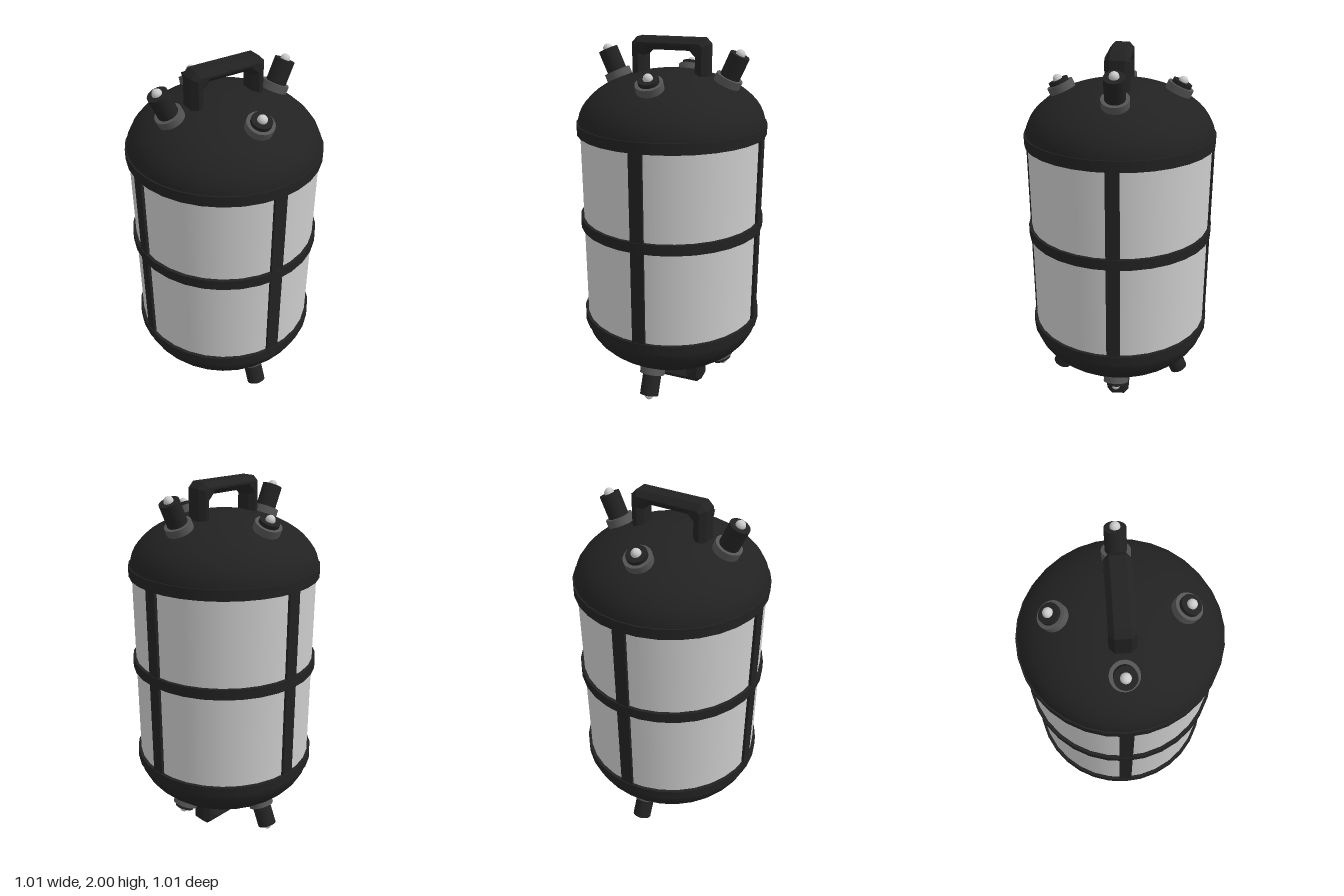
import * as THREE from 'three';

const dark = new THREE.MeshStandardMaterial({ color: 0x222222 });
const mid = new THREE.MeshStandardMaterial({ color: 0x555555 });
const grey = new THREE.MeshStandardMaterial({ color: 0xcccccc });

function add(parent, name, geometry, material, x = 0, y = 0, z = 0) {
  const mesh = new THREE.Mesh(geometry, material);
  mesh.name = name;
  mesh.position.set(x, y, z);
  parent.add(mesh);
  return mesh;
}

// Valve: wide collar, dark stem and a small round tip, along local +y
function makeValve(length) {
  const valve = new THREE.Group();
  valve.name = 'valve';
  add(valve, 'valveCollar', new THREE.CylinderGeometry(0.07, 0.07, 0.08, 24), mid, 0, -0.01);
  add(valve, 'valveStem', new THREE.CylinderGeometry(0.052, 0.052, length, 24), dark, 0, length / 2);
  add(valve, 'valveTip', new THREE.SphereGeometry(0.025, 16, 12), grey, 0, length + 0.003);
  return valve;
}

// Chamfered U-shaped handle, measured from the model's mid-height
function makeHandleGeometry() {
  const o = 0.205, i = 0.137, top = 1.0, under = 0.938, foot = 0.77, c = 0.03;
  const points = [
    [-o, foot], [-i, foot], [-i, under - c], [-i + c, under], [i - c, under], [i, under - c],
    [i, foot], [o, foot], [o, top - c], [o - c, top], [-o + c, top], [-o, top - c],
  ].map(([x, y]) => new THREE.Vector2(x, y));
  const b = 0.026;
  const geometry = new THREE.ExtrudeGeometry(new THREE.Shape(points), {
    depth: 0.125 - 2 * b, bevelEnabled: true, bevelThickness: b, bevelSize: b, bevelOffset: -b, bevelSegments: 1,
  });
  return geometry.translate(0, 0, -0.0625 + b);
}

// Domed end with four tilted valves, alternating tall and short
function makeEnd() {
  const end = new THREE.Group();
  const profile = [];
  for (let k = 0; k <= 14; k++) {
    const a = (k / 14) * Math.PI / 2;
    profile.push(new THREE.Vector2(0.497 * Math.cos(a), 0.55 + 0.287 * Math.sin(a)));
  }
  profile[14].x = 0;
  add(end, 'dome', new THREE.LatheGeometry(profile, 32), dark);
  add(end, 'endBand', new THREE.CylinderGeometry(0.503, 0.503, 0.056, 32), dark, 0, 0.541);
  for (let k = 0; k < 4; k++) {
    const holder = new THREE.Group();
    holder.name = 'valveMount';
    holder.rotation.y = k * Math.PI / 2;
    const valve = makeValve(k % 2 ? 0.05 : 0.15);
    valve.position.set(0.299, 0.785, 0);
    valve.rotation.z = -0.42;
    holder.add(valve);
    end.add(holder);
  }
  return end;
}

export function createModel() {
  const model = new THREE.Group();
  model.name = 'canister';

  // Pale drum with a middle band
  add(model, 'drum', new THREE.CylinderGeometry(0.486, 0.486, 1.1, 32), grey, 0, 1.003);
  add(model, 'middleBand', new THREE.CylinderGeometry(0.503, 0.503, 0.056, 32), dark, 0, 1.034);

  // Four upright strips
  for (let k = 0; k < 4; k++) {
    const a = k * Math.PI / 2;
    const strip = add(model, 'uprightStrip', new THREE.BoxGeometry(0.07, 1.06, 0.03), dark,
      0.482 * Math.sin(a), 1.003, 0.482 * Math.cos(a));
    strip.rotation.y = a;
  }

  // Ends: the lower one is flipped and turned a quarter
  const upper = makeEnd();
  upper.name = 'upperEnd';
  upper.position.y = 1.003;
  const lower = makeEnd();
  lower.name = 'lowerEnd';
  lower.position.y = 1.003;
  lower.rotation.set(Math.PI, Math.PI / 2, 0);
  model.add(upper, lower);

  // Handles
  const handle = makeHandleGeometry();
  add(model, 'upperHandle', handle, dark, 0, 1, 0);
  add(model, 'lowerHandle', handle, dark, 0, 1, 0).rotation.x = Math.PI;

  return model;
}
